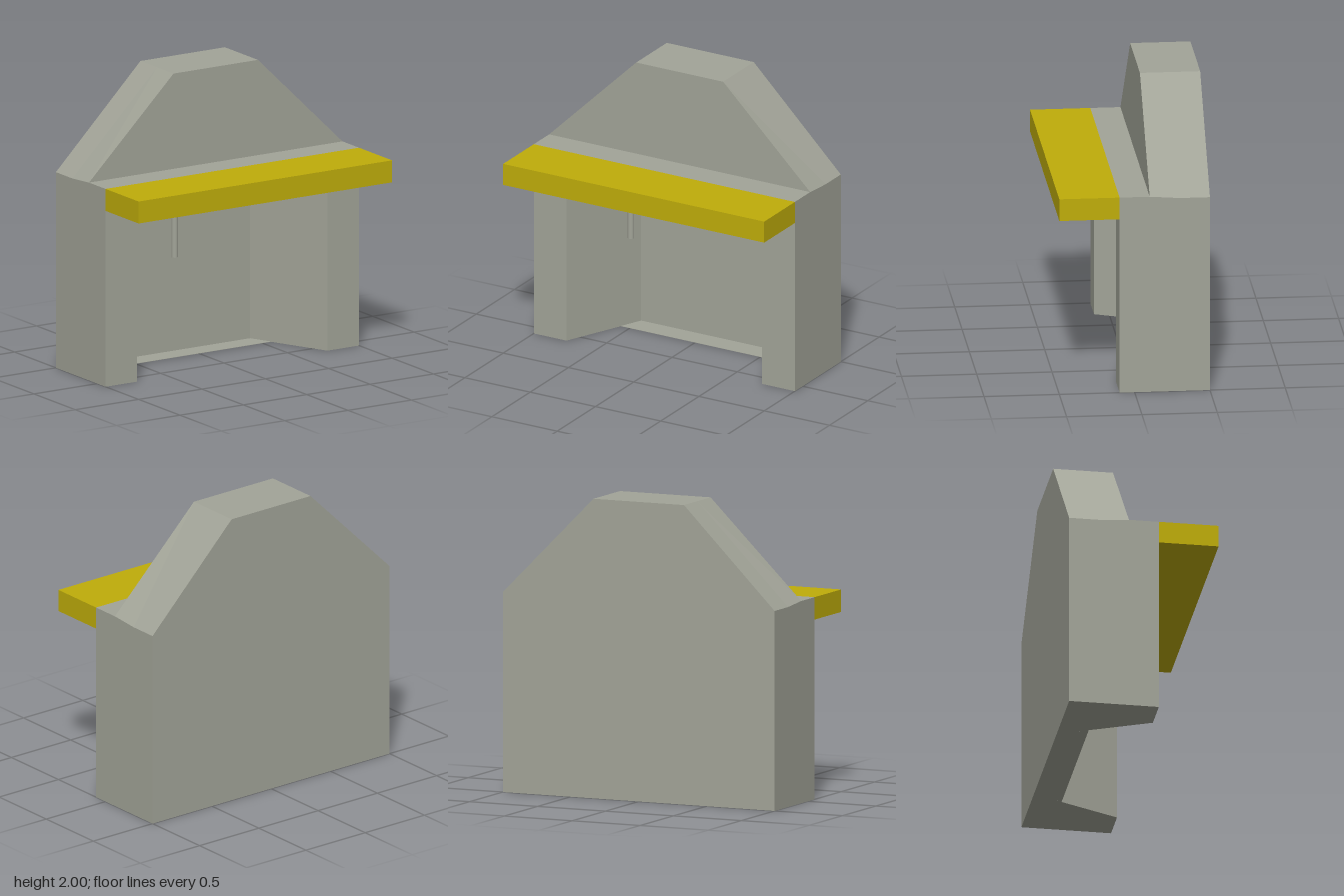
import * as THREE from 'three';

const stone = new THREE.MeshStandardMaterial({ color: 0xa2a498 });
stone.name = 'stone';
const mustard = new THREE.MeshStandardMaterial({ color: 0xbfad0a });
mustard.name = 'mustard';

const toShape = (pts) => new THREE.Shape(pts.map(([x, y]) => new THREE.Vector2(x, y)));

// Extrude a plan outline given as [x, z] upwards
function extrudeUp(plan, height) {
  const g = new THREE.ExtrudeGeometry(toShape(plan.map(([x, z]) => [x, -z])), { depth: height, bevelEnabled: false });
  return g.rotateX(-Math.PI / 2);
}

// Extrude a side profile given as [z, y] across the full width
function extrudeAcross(profile, width) {
  const g = new THREE.ExtrudeGeometry(toShape(profile.map(([z, y]) => [-z, y])), { depth: width, bevelEnabled: false });
  return g.rotateY(Math.PI / 2).translate(-width / 2, 0, 0);
}

// Tapered hood: trapezoid cross-sections from front to back
function hoodGeometry() {
  const sections = [[-0.1, 1.35], [-0.3, 1.335], [-0.5, 1.335]].map(([z, y]) =>
    [[-1, y, z], [1, y, z], [0.333, 2, z], [-0.333, 2, z]]);
  const pos = [];
  const quad = (a, b, c, d) => [a, b, c, a, c, d].forEach((p) => pos.push(...p));
  quad(...sections[0]);
  for (let s = 0; s < 2; s++) {
    for (let i = 0; i < 4; i++) {
      const j = (i + 1) % 4;
      quad(sections[s][j], sections[s][i], sections[s + 1][i], sections[s + 1][j]);
    }
  }
  quad(...[...sections[2]].reverse());
  const g = new THREE.BufferGeometry();
  g.setAttribute('position', new THREE.Float32BufferAttribute(pos, 3));
  g.computeVertexNormals();
  return g;
}

export function createModel() {
  const group = new THREE.Group();
  group.name = 'fireplace';
  const add = (name, geometry, material) => {
    const mesh = new THREE.Mesh(geometry, material);
    mesh.name = name;
    group.add(mesh);
    return mesh;
  };

  // Walls around the splayed firebox
  add('fireboxWalls', extrudeUp([
    [-1, 0.1], [-0.75, 0.1], [-0.5, -0.45], [0.5, -0.45],
    [0.75, 0.1], [1, 0.1], [1, -0.5], [-1, -0.5],
  ], 1.2), stone);

  // Thin hearth strip at the back of the firebox
  add('hearthFloor', extrudeUp([
    [-0.568, -0.3], [0.568, -0.3], [0.5, -0.45], [-0.5, -0.45],
  ], 0.002), stone);

  // Lintel over the firebox, dipping slightly at the back
  add('lintel', extrudeAcross([
    [0.1, 1.2], [-0.5, 1.2], [-0.5, 1.335], [-0.3, 1.335], [-0.1, 1.35], [0.1, 1.35],
  ], 2), stone);

  // Projecting mantel shelf
  add('mantelShelf', new THREE.BoxGeometry(2, 0.15, 0.4).translate(0, 1.275, 0.3), mustard);

  add('chimneyHood', hoodGeometry(), stone);

  // Damper rod hanging inside the opening
  add('damperRod', new THREE.CylinderGeometry(0.022, 0.022, 0.42, 16).translate(-0.35, 0.97, -0.06), stone);

  return group;
}
